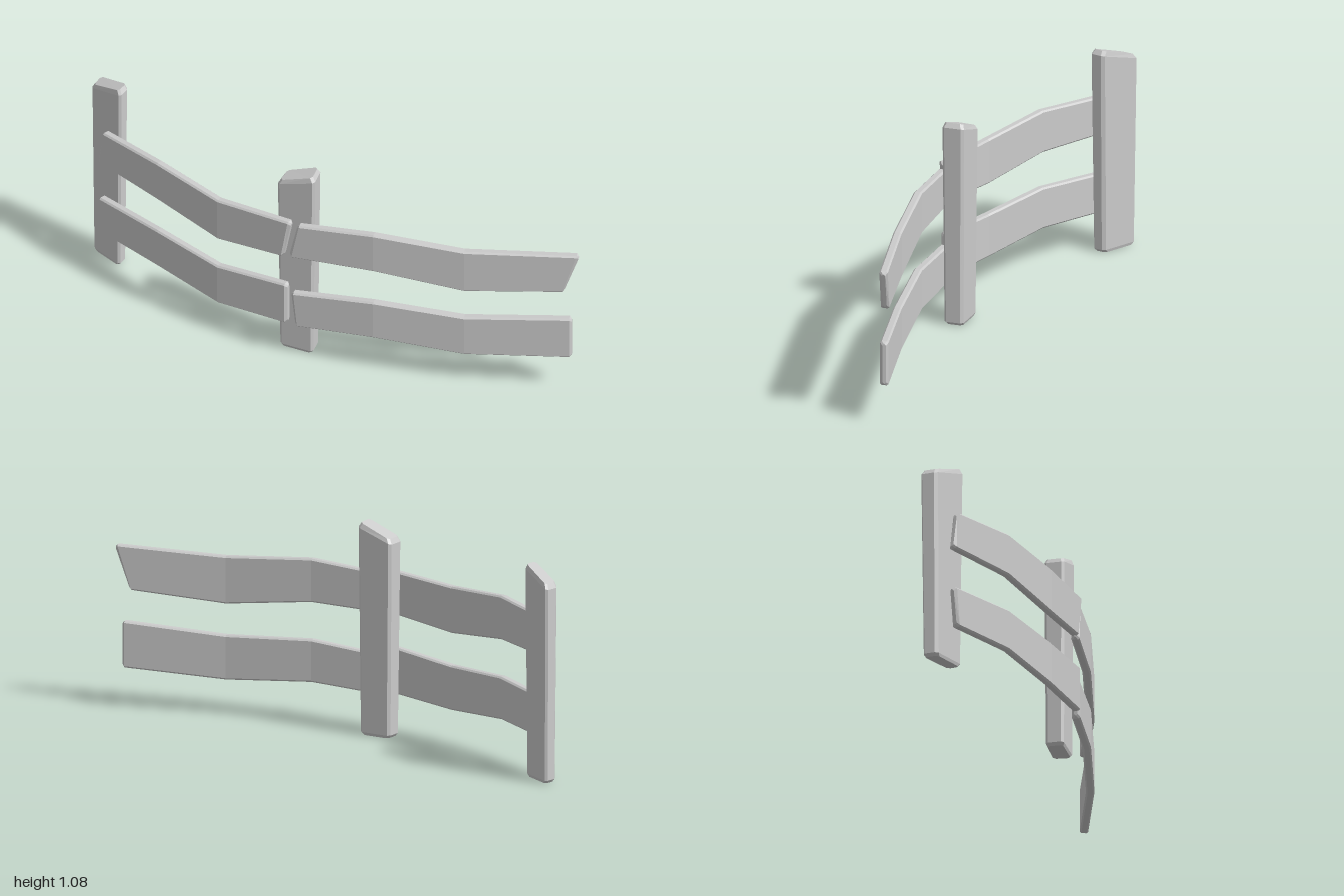
import * as THREE from 'three';

const material = new THREE.MeshStandardMaterial({ color: 0xcccccc, flatShading: true, side: THREE.DoubleSide });
const V = (x, y, z) => new THREE.Vector3(x, y, z);

// Skin a list of rings (counter-clockwise about the travel direction) and cap both ends
function loft(rings, name) {
  const pos = [];
  const tri = (...pts) => pts.forEach((p) => pos.push(p.x, p.y, p.z));
  const n = rings[0].length;
  for (let r = 0; r < rings.length - 1; r++) {
    const a = rings[r], b = rings[r + 1];
    for (let i = 0; i < n; i++) {
      const j = (i + 1) % n;
      tri(a[i], a[j], b[j]);
      tri(a[i], b[j], b[i]);
    }
  }
  const first = rings[0], last = rings[rings.length - 1];
  for (let i = 1; i < n - 1; i++) {
    tri(first[0], first[i + 1], first[i]);
    tri(last[0], last[i], last[i + 1]);
  }
  const geometry = new THREE.BufferGeometry();
  geometry.setAttribute('position', new THREE.Float32BufferAttribute(pos, 3));
  geometry.computeVertexNormals();
  const mesh = new THREE.Mesh(geometry, material);
  mesh.name = name;
  return mesh;
}

// Cut every corner of a ring by a fixed distance
function chamfer(corners, d) {
  return corners.flatMap((c, i) => {
    const prev = corners[(i + corners.length - 1) % corners.length];
    const next = corners[(i + 1) % corners.length];
    const toward = (q) => c.clone().addScaledVector(q.clone().sub(c).normalize(), d);
    return [toward(prev), toward(next)];
  });
}

// Slightly tapered post with a sloping top; the first two corners are the high side
function makePost(corners, name) {
  const cx = corners.reduce((s, c) => s + c[0], 0) / 4;
  const cz = corners.reduce((s, c) => s + c[1], 0) / 4;
  const ring = (scale, yHigh, yLow) => chamfer(corners.map(([x, z], i) =>
    V(cx + (x - cx) * scale, i < 2 ? yHigh : yLow, cz + (z - cz) * scale)), 0.013);
  return loft([
    ring(0.8, 0, 0),
    ring(0.92, 0.015, 0.015),
    ring(1.03, 1.052, 0.985),
    ring(0.88, 1.075, 1.01),
  ], name);
}

// Bent plank; station = [x, z, top, bottom, end slant]
function makePlank(stations, name) {
  const half = 0.021, bevel = 0.012;
  const at = (i) => V(stations[i][0], 0, stations[i][1]);
  const rings = [];
  const end = stations.length - 1;
  stations.forEach(([, , top, bottom, slant = 0], i) => {
    const p = at(i);
    const t = at(Math.min(i + 1, end)).sub(at(Math.max(i - 1, 0))).normalize();
    const normal = V(t.z, 0, -t.x);
    const ring = (shift, inset) => chamfer([[1, -1], [1, 1], [-1, 1], [-1, -1]].map(([s, v]) => {
      const c = p.clone().addScaledVector(normal, s * (half - inset)).addScaledVector(t, shift + v * slant);
      c.y = v > 0 ? top - inset : bottom + inset;
      return c;
    }), 0.008);
    if (i === 0) rings.push(ring(0, bevel));
    rings.push(ring(i === 0 ? bevel : i === end ? -bevel : 0, 0));
    if (i === end) rings.push(ring(0, bevel));
  });
  return loft(rings, name);
}

export function createModel() {
  const group = new THREE.Group();
  group.name = 'curvedFence';

  // Posts
  group.add(makePost([[-0.91, -0.68], [-0.855, -0.73], [-0.94, -0.93], [-1.0, -0.87]], 'endPost'));
  group.add(makePost([[-0.193, 0.277], [-0.134, 0.187], [-0.278, 0.07], [-0.342, 0.148]], 'middlePost'));

  // Planks behind the bend
  group.add(makePlank([
    [-0.975, -0.765, 0.80, 0.60, 0.015], [-0.79, -0.39, 0.83, 0.61],
    [-0.58, -0.055, 0.80, 0.565], [-0.312, 0.235, 0.82, 0.60, 0.02],
  ], 'rightUpperPlank'));
  group.add(makePlank([
    [-0.975, -0.765, 0.39, 0.185, -0.012], [-0.79, -0.39, 0.42, 0.205],
    [-0.58, -0.055, 0.40, 0.175], [-0.312, 0.235, 0.435, 0.20],
  ], 'rightLowerPlank'));

  // Planks in front of the bend
  group.add(makePlank([
    [-0.285, 0.24, 0.80, 0.60, 0.02], [0.06, 0.47, 0.83, 0.61],
    [0.46, 0.685, 0.80, 0.56], [0.952, 0.89, 0.82, 0.595, 0.036],
  ], 'leftUpperPlank'));
  group.add(makePlank([
    [-0.285, 0.24, 0.385, 0.185, -0.01], [0.06, 0.47, 0.42, 0.205],
    [0.46, 0.685, 0.40, 0.175], [0.952, 0.89, 0.435, 0.20],
  ], 'leftLowerPlank'));

  return group;
}
